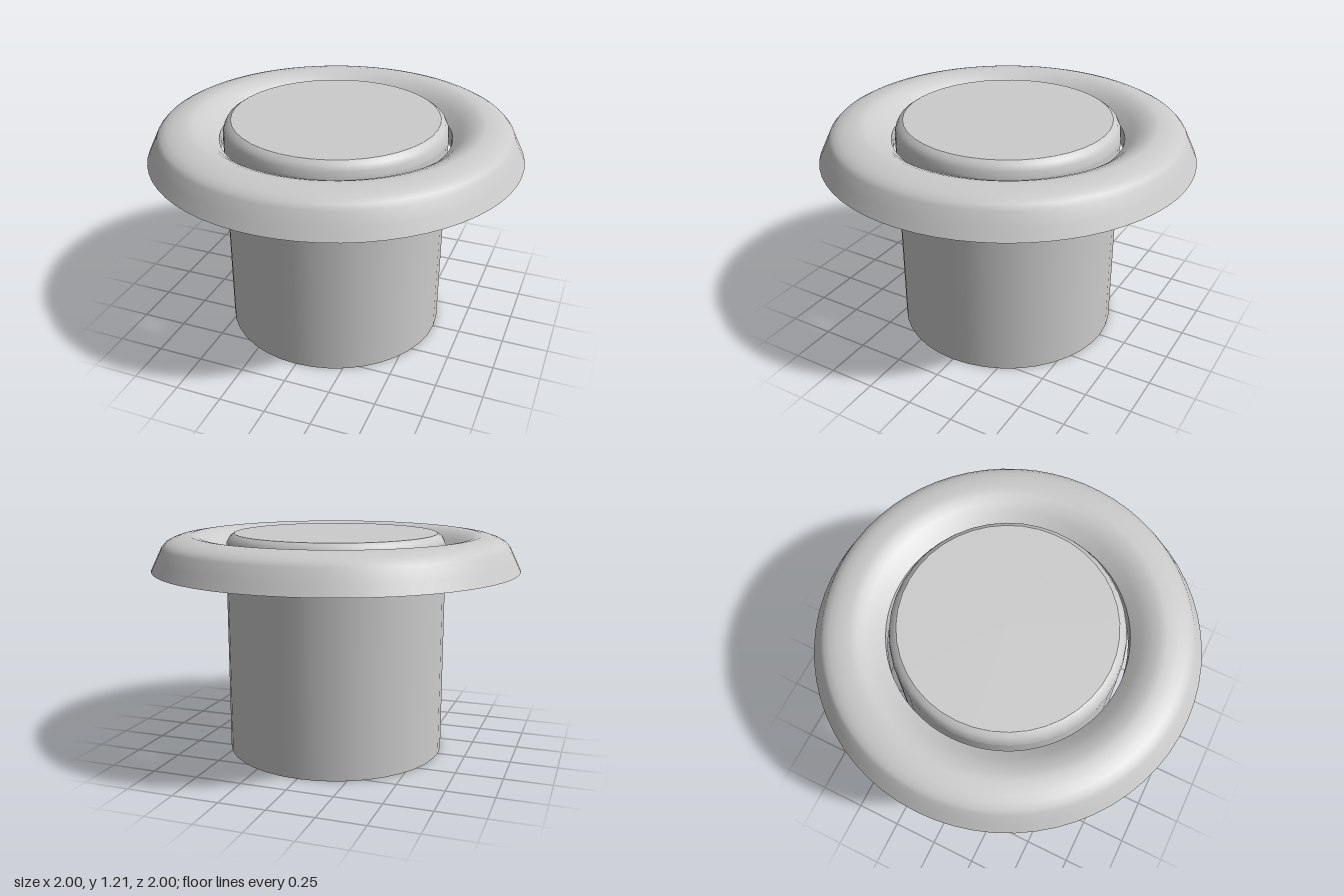
import * as THREE from 'three';

const material = new THREE.MeshStandardMaterial({ color: 0xcccccc, side: THREE.DoubleSide });

// Revolve [radius, height] points; profiles run upwards on the outside
function revolve(name, points, segments) {
  const profile = points.map(([r, y]) => new THREE.Vector2(r, y));
  const mesh = new THREE.Mesh(new THREE.LatheGeometry(profile, segments), material);
  mesh.name = name;
  return mesh;
}

export function createModel() {
  const model = new THREE.Group();
  model.name = 'flangedPlug';

  // Plug: tube open at the bottom, with a rounded shoulder and a flat top
  const plug = new THREE.Group();
  plug.name = 'plug';
  plug.add(
    revolve('plugWall', [[0.6, 0], [0.6, 1.13]], 40),
    revolve('plugShoulder', [[0.6, 1.13], [0.595, 1.165], [0.58, 1.193], [0.555, 1.21]], 40),
    revolve('plugTop', [[0.555, 1.21], [0, 1.21]], 40)
  );

  // Flange: thin domed ring, hollow underneath, with a straight inner collar
  const flange = new THREE.Group();
  flange.name = 'flange';
  flange.add(
    revolve('flangeDome', [
      [1, 1.02], [0.97, 1.083], [0.94, 1.145], [0.92, 1.167], [0.89, 1.183], [0.85, 1.196],
      [0.79, 1.205], [0.75, 1.198], [0.71, 1.181], [0.67, 1.155], [0.62, 1.11]
    ], 64),
    revolve('flangeCollar', [[0.62, 1.11], [0.62, 1.02]], 64)
  );

  model.add(plug, flange);
  return model;
}
